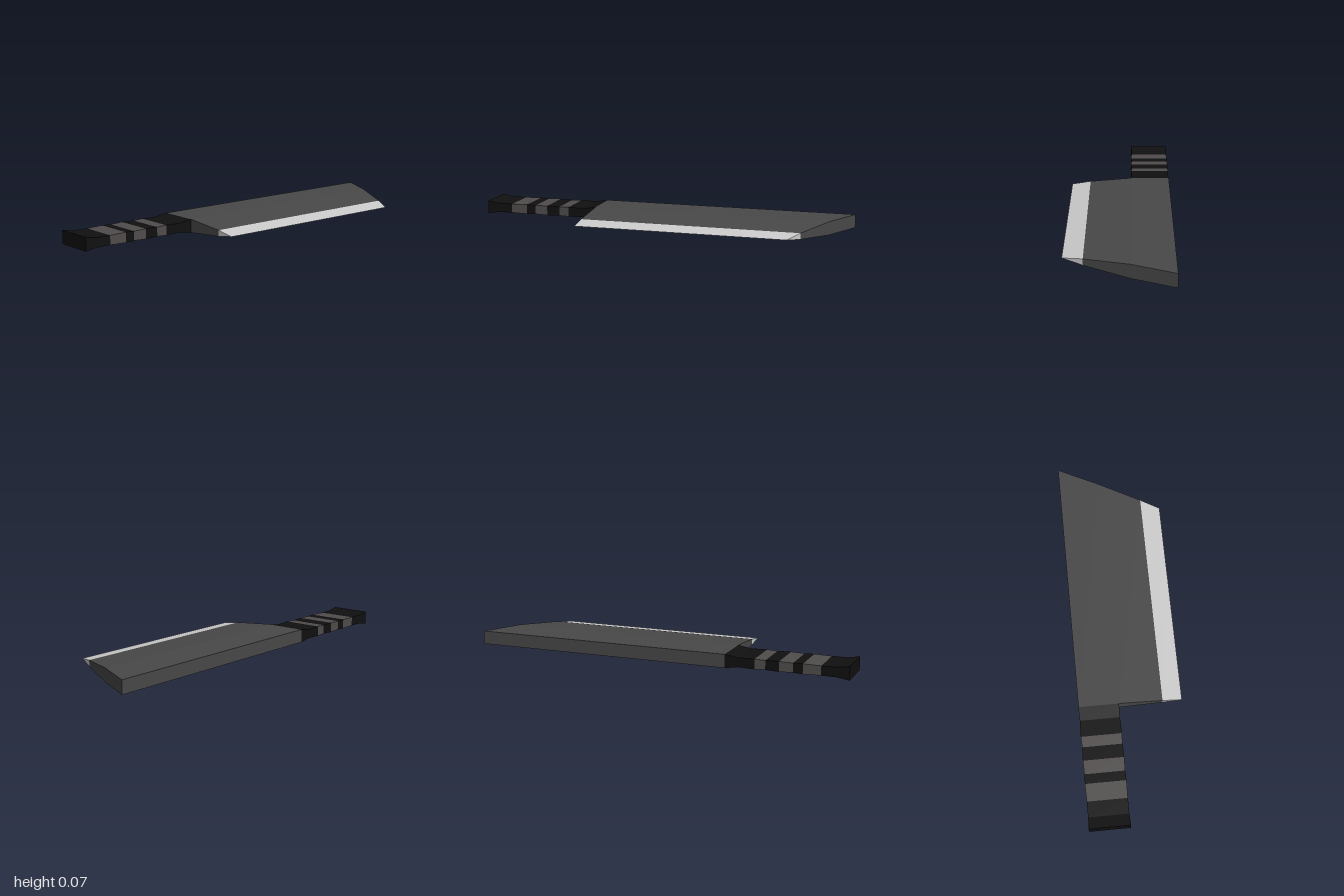
import * as THREE from 'three';

const MID = 0.036; // height of the symmetry plane

// Skins matching rings of [x, y, z] points (counter-clockwise seen from +x) and caps the chosen ends.
function loft(rings, capLeft = true, capRight = true) {
  const pos = [];
  const n = rings[0].length;
  for (let r = 0; r < rings.length - 1; r++) {
    const a = rings[r], b = rings[r + 1];
    for (let i = 0; i < n; i++) {
      const j = (i + 1) % n;
      pos.push(...a[i], ...a[j], ...b[j], ...a[i], ...b[j], ...b[i]);
    }
  }
  const first = rings[0], last = rings[rings.length - 1];
  for (let k = 1; k < n - 1; k++) {
    if (capLeft) pos.push(...first[0], ...first[k + 1], ...first[k]);
    if (capRight) pos.push(...last[0], ...last[k], ...last[k + 1]);
  }
  const g = new THREE.BufferGeometry();
  g.setAttribute('position', new THREE.Float32BufferAttribute(pos, 3));
  g.computeVertexNormals();
  return g;
}

const material = (color) => new THREE.MeshStandardMaterial({ color, flatShading: true });

export function createModel() {
  const model = new THREE.Group();
  const add = (parent, name, geometry, mat) => {
    const m = new THREE.Mesh(geometry, mat);
    m.name = name;
    parent.add(m);
  };

  // Blade: [z, half thickness] profiles run from a square heel to a slanted tip
  const bladePart = (lower) => {
    const upper = lower.filter(([, h]) => h > 0).reverse();
    const profile = [...lower.map(([z, h]) => [z, MID - h]), ...upper.map(([z, h]) => [z, MID + h])];
    return loft([
      profile.map(([z, y]) => [-0.37, y, z]),
      profile.map(([z, y]) => [1 - (z + 0.267) * 0.5, y, z]),
    ]);
  };
  const blade = new THREE.Group();
  blade.name = 'blade';
  add(blade, 'bladeBody', bladePart([[0.167, 0.016], [-0.055, 0.035], [-0.267, 0.035]]), material(0x484848));
  add(blade, 'cuttingEdge', bladePart([[0.268, 0], [0.167, 0.016]]), material(0xcccccc));
  model.add(blade);

  // Handle: stations [x, half thickness, half width], flared at both ends
  const dark = material(0x101010), light = material(0x504c4c);
  const stations = [
    [-1, 0.035, 0.105], [-0.94, 0.025, 0.103], [-0.86, 0.024, 0.103], [-0.77, 0.026, 0.105],
    [-0.72, 0.024, 0.103], [-0.65, 0.026, 0.105], [-0.58, 0.024, 0.103], [-0.525, 0.026, 0.105],
    [-0.44, 0.024, 0.103], [-0.37, 0.035, 0.105],
  ];
  const ring = ([x, h, w]) => [[1, -1], [-1, -1], [-1, 1], [1, 1]].map(([sz, sy]) => [x, MID + sy * h, -0.163 + sz * w]);
  const handle = new THREE.Group();
  handle.name = 'handle';
  for (let i = 0; i < stations.length - 1; i++) {
    const isGrip = i === 2 || i === 4 || i === 6;
    const geometry = loft([ring(stations[i]), ring(stations[i + 1])], i === 0, i === stations.length - 2);
    add(handle, isGrip ? 'gripBand' : 'handleSection', geometry, isGrip ? light : dark);
  }
  model.add(handle);

  return model;
}
